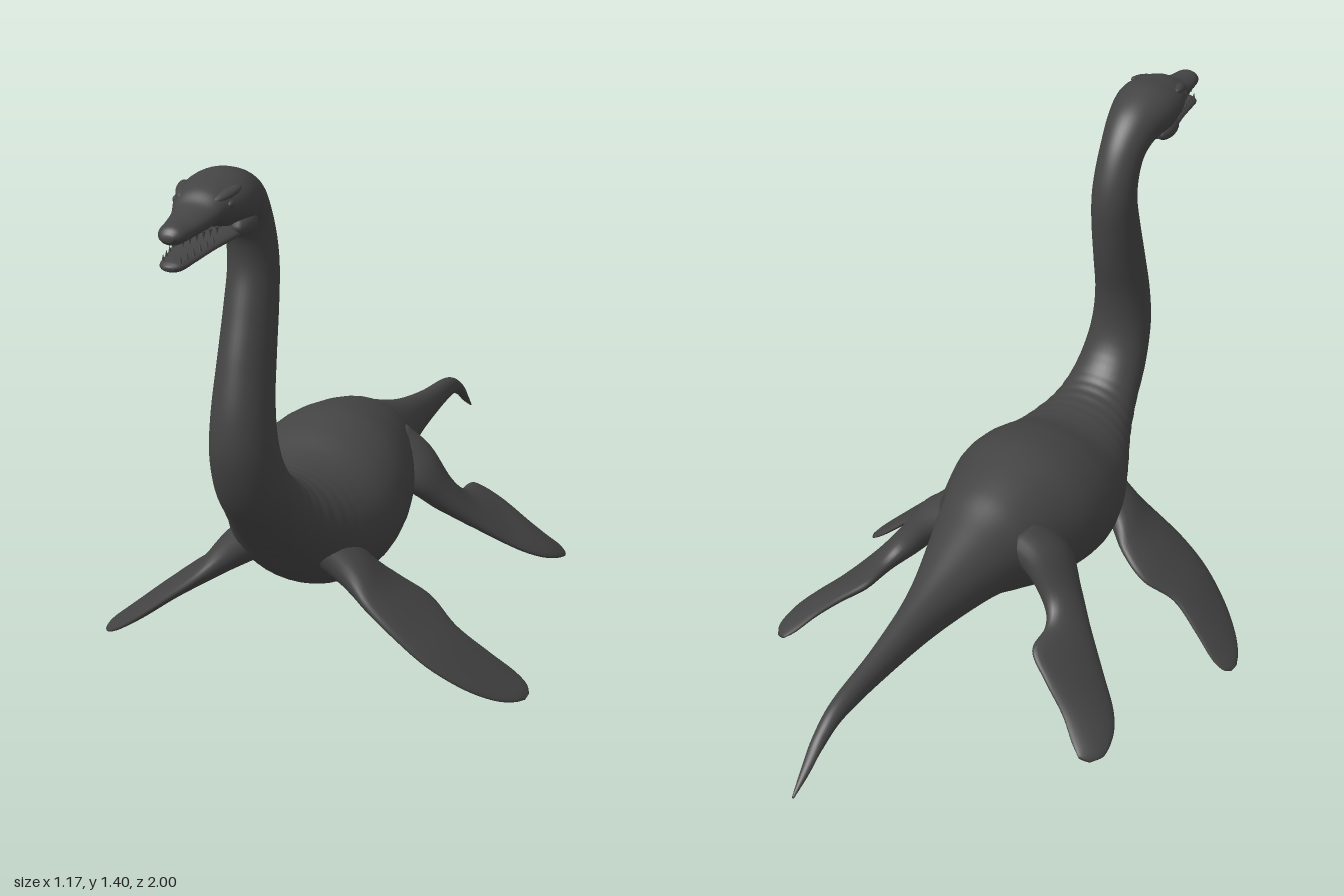
import * as THREE from 'three';

const V = (x, y, z) => new THREE.Vector3(x, y, z);

// Smooth skin through stations {a, b, w}: a and b are opposite edge points,
// w is the half thickness along the direction n.
function loft(stations, n, steps = 8, sides = 36, ripple = () => 1) {
  const curveA = new THREE.CatmullRomCurve3(stations.map(s => s.a), false, 'catmullrom', 0.5);
  const curveB = new THREE.CatmullRomCurve3(stations.map(s => s.b), false, 'catmullrom', 0.5);
  const curveW = new THREE.CatmullRomCurve3(stations.map((s, i) => V(s.w, i, 0)), false, 'catmullrom', 0.5);
  const rows = (stations.length - 1) * steps;
  const pos = [], index = [];
  for (let r = -1; r <= rows + 1; r++) {
    const t = THREE.MathUtils.clamp(r / rows, 0, 1);
    const cap = r < 0 || r > rows ? 0 : ripple(t * (stations.length - 1));
    const a = curveA.getPoint(t), b = curveB.getPoint(t), w = curveW.getPoint(t).x;
    const c = a.clone().add(b).multiplyScalar(0.5);
    const half = a.clone().sub(c);
    for (let j = 0; j < sides; j++) {
      const q = (j / sides) * Math.PI * 2;
      const p = c.clone()
        .addScaledVector(half, Math.cos(q) * cap)
        .addScaledVector(n, Math.sin(q) * w * cap);
      pos.push(p.x, p.y, p.z);
    }
  }
  for (let r = 0; r < rows + 2; r++) {
    for (let j = 0; j < sides; j++) {
      const k = (j + 1) % sides;
      const p = r * sides + j, q = r * sides + k;
      index.push(p, p + sides, q, q, p + sides, q + sides);
    }
  }
  const g = new THREE.BufferGeometry();
  g.setAttribute('position', new THREE.Float32BufferAttribute(pos, 3));
  g.setIndex(index);
  g.computeVertexNormals();
  return g;
}

// Centre-line section: top z, top y, bottom z, bottom y, half width
const section = ([zt, yt, zb, yb, w]) => ({ a: V(0, yt, zt), b: V(0, yb, zb), w });

const TAIL_AND_TRUNK = [
  [-1, 0.302, -1, 0.296, 0.003],
  [-0.94, 0.355, -0.95, 0.325, 0.012],
  [-0.88, 0.408, -0.895, 0.362, 0.018],
  [-0.79, 0.449, -0.8, 0.393, 0.024],
  [-0.6, 0.47, -0.6, 0.382, 0.035],
  [-0.4, 0.508, -0.4, 0.362, 0.06],
  [-0.2, 0.572, -0.2, 0.335, 0.115],
  [-0.1, 0.612, -0.1, 0.295, 0.155],
  [0, 0.636, 0, 0.25, 0.19],
  [0.1, 0.645, 0.1, 0.228, 0.216],
  [0.2, 0.625, 0.2, 0.218, 0.22],
  [0.3, 0.59, 0.3, 0.243, 0.197],
];
const NECK = [
  [0.38, 0.585, 0.39, 0.305, 0.162],
  [0.45, 0.6, 0.48, 0.385, 0.125],
  [0.5, 0.635, 0.575, 0.475, 0.102],
  [0.54, 0.69, 0.662, 0.575, 0.09],
  [0.557, 0.76, 0.712, 0.69, 0.081],
  [0.55, 0.85, 0.717, 0.8, 0.073],
  [0.525, 0.95, 0.69, 0.93, 0.066],
  [0.507, 1.05, 0.655, 1.05, 0.062],
  [0.5, 1.14, 0.632, 1.14, 0.059],
  [0.515, 1.22, 0.635, 1.2, 0.058],
];
const HEAD = [
  [0.555, 1.305, 0.655, 1.24, 0.06],
  [0.62, 1.372, 0.69, 1.26, 0.071],
  [0.71, 1.405, 0.735, 1.264, 0.086],
  [0.78, 1.4, 0.785, 1.285, 0.084],
  [0.84, 1.384, 0.84, 1.3, 0.064],
  [0.88, 1.357, 0.88, 1.297, 0.05],
  [0.93, 1.342, 0.93, 1.295, 0.041],
  [0.98, 1.335, 0.98, 1.292, 0.031],
  [1, 1.318, 1, 1.303, 0.014],
];
const JAW = [
  [0.7, 1.305, 0.7, 1.264, 0.068],
  [0.78, 1.294, 0.78, 1.257, 0.068],
  [0.86, 1.28, 0.86, 1.249, 0.051],
  [0.93, 1.267, 0.93, 1.24, 0.038],
  [0.98, 1.26, 0.98, 1.234, 0.029],
  [0.998, 1.251, 0.998, 1.24, 0.013],
];

// Flipper sections: leading edge xyz, trailing edge xyz, half thickness
const FRONT_FLIPPER = [
  [0.07, 0.4, 0.42, 0.07, 0.4, 0.26, 0.06],
  [0.16, 0.33, 0.415, 0.16, 0.335, 0.285, 0.046],
  [0.23, 0.268, 0.438, 0.23, 0.275, 0.235, 0.03],
  [0.31, 0.205, 0.448, 0.31, 0.222, 0.208, 0.022],
  [0.39, 0.14, 0.438, 0.39, 0.165, 0.238, 0.018],
  [0.47, 0.078, 0.398, 0.47, 0.1, 0.218, 0.014],
  [0.53, 0.035, 0.345, 0.53, 0.05, 0.197, 0.011],
  [0.565, 0.014, 0.295, 0.565, 0.022, 0.2, 0.008],
  [0.581, 0.005, 0.255, 0.581, 0.008, 0.222, 0.004],
];
const REAR_FLIPPER = [
  [0.09, 0.46, 0.03, 0.08, 0.5, -0.16, 0.08],
  [0.19, 0.42, 0, 0.155, 0.465, -0.155, 0.055],
  [0.25, 0.36, -0.05, 0.215, 0.38, -0.165, 0.04],
  [0.32, 0.29, -0.112, 0.241, 0.345, -0.21, 0.028],
  [0.4, 0.218, -0.182, 0.25, 0.335, -0.295, 0.022],
  [0.455, 0.178, -0.235, 0.31, 0.288, -0.334, 0.018],
  [0.487, 0.155, -0.29, 0.375, 0.225, -0.36, 0.015],
  [0.497, 0.138, -0.355, 0.42, 0.175, -0.39, 0.011],
  [0.478, 0.137, -0.395, 0.45, 0.15, -0.408, 0.005],
];

// Swapping the edges on the mirrored side keeps the faces outward
function flipper(rows, side) {
  const stations = rows.map(([ax, ay, az, bx, by, bz, w]) => {
    const lead = V(ax * side, ay, az), trail = V(bx * side, by, bz);
    return side > 0 ? { a: lead, b: trail, w } : { a: trail, b: lead, w };
  });
  return loft(stations, V(0.6 * side, 0.8, 0), 6, 28);
}

export function createModel() {
  const model = new THREE.Group();
  const skin = new THREE.MeshStandardMaterial({ color: 0x444444 });
  skin.name = 'dark grey skin';
  const add = (name, geometry) => {
    const mesh = new THREE.Mesh(geometry, skin);
    mesh.name = name;
    model.add(mesh);
    return mesh;
  };

  // Tail, trunk, neck and upper head in one skin, with soft folds at the neck base
  const folds = s => 1 + 0.008 * Math.sin(s * 14) * Math.exp(-(((s - 13) / 1.3) ** 2));
  const spine = [...TAIL_AND_TRUNK, ...NECK, ...HEAD].map(section);
  add('body', loft(spine, V(1, 0, 0), 10, 40, folds));
  add('lowerJaw', loft(JAW.map(section), V(1, 0, 0), 6, 24));

  const ball = new THREE.SphereGeometry(1, 18, 12);
  const tooth = new THREE.ConeGeometry(0.004, 0.018, 6);
  for (const side of [1, -1]) {
    const label = side > 0 ? 'left' : 'right';
    add(label + 'FrontFlipper', flipper(FRONT_FLIPPER, side));
    add(label + 'RearFlipper', flipper(REAR_FLIPPER, side));

    // Brow, eye and cheek
    const brow = add(label + 'Brow', ball);
    brow.position.set(0.052 * side, 1.37, 0.815);
    brow.scale.set(0.016, 0.011, 0.045);
    brow.rotation.set(0.25, -0.35 * side, 0);
    const eye = add(label + 'Eye', ball);
    eye.position.set(0.064 * side, 1.35, 0.82);
    eye.scale.set(0.009, 0.01, 0.013);
    const cheek = add(label + 'Cheek', ball);
    cheek.position.set(0.06 * side, 1.287, 0.74);
    cheek.scale.set(0.025, 0.026, 0.05);

    // Teeth along both jaws
    for (let i = 0; i < 6; i++) {
      const z = 0.85 + i * 0.024;
      const x = (0.045 - i * 0.0045) * side;
      const upper = add(label + 'UpperTooth', tooth);
      upper.position.set(x, 1.297, z);
      upper.rotation.x = Math.PI;
      add(label + 'LowerTooth', tooth).position.set(x * 0.9, 1.278 - i * 0.003, z + 0.01);
    }
  }
  return model;
}
